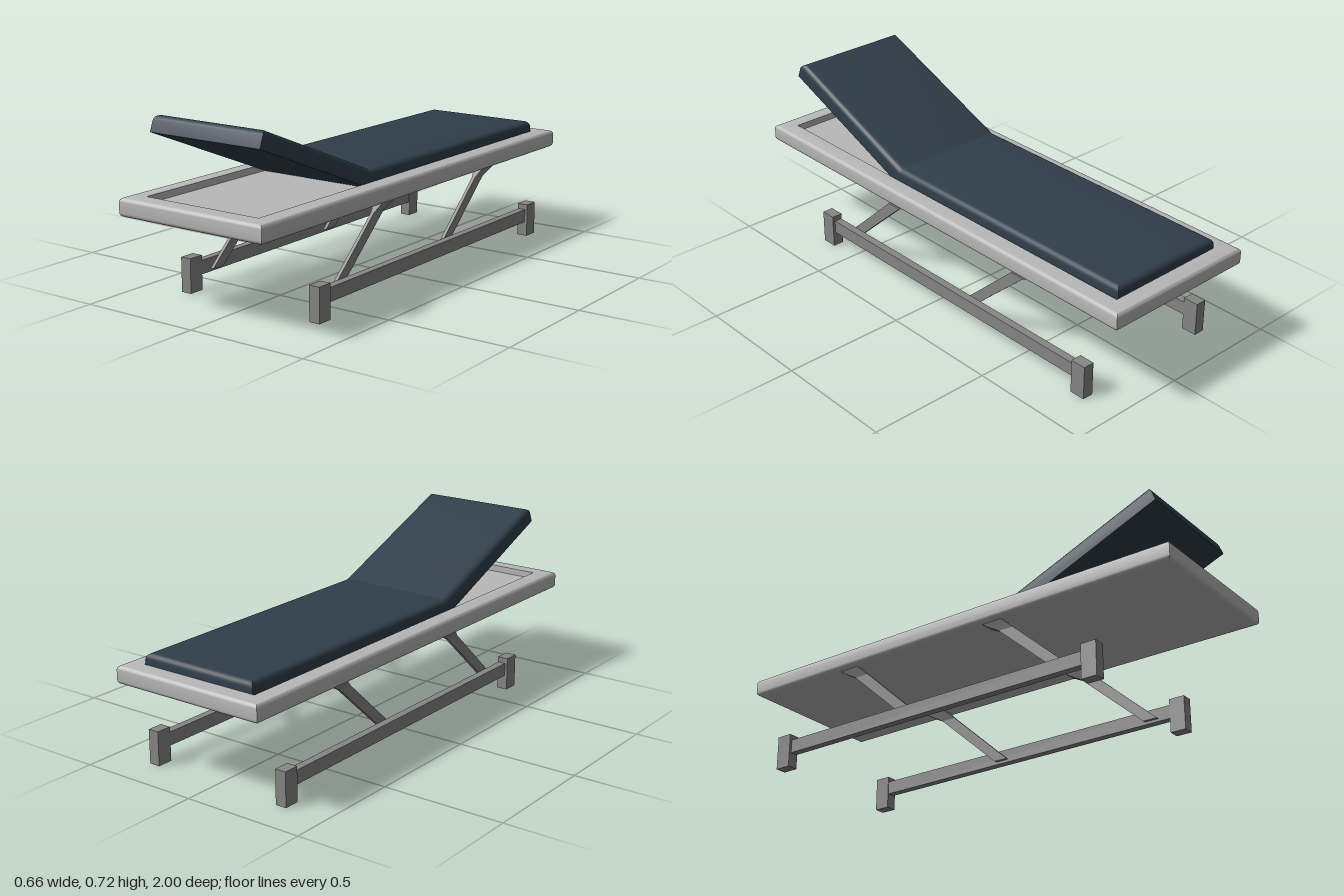
import * as THREE from 'three';
import { toCreasedNormals } from 'three/addons/utils/BufferGeometryUtils.js';

const material = (name, color) => {
  const m = new THREE.MeshStandardMaterial({ color });
  m.name = name;
  return m;
};

function addMesh(parent, name, geometry, mat) {
  const mesh = new THREE.Mesh(geometry, mat);
  mesh.name = name;
  parent.add(mesh);
  return mesh;
}

// Quarter round in (inset, height), from one edge angle to another
function arc(d, y, r, from, to) {
  return Array.from({ length: 6 }, (_, i) => {
    const a = from + ((to - from) * i) / 5;
    return [d - r * Math.cos(a), y + r * Math.sin(a)];
  });
}

// Sweeps an (inset, height) profile around a rectangle with mitred corners
function rectSweep(profile, halfWidth, zAt) {
  const points = profile.map(([d, y]) => new THREE.Vector2(2 - d, y));
  const geometry = new THREE.LatheGeometry(points, 4, Math.PI / 4);
  const p = geometry.attributes.position;
  for (let i = 0; i < p.count; i++) {
    const [d, y] = profile[i % profile.length];
    p.setX(i, Math.sign(p.getX(i)) * (halfWidth - d));
    p.setZ(i, zAt(Math.sign(p.getZ(i)), d, y));
  }
  return toCreasedNormals(geometry, 0.6);
}

// Cushion section running along +z from a mitred joint at the origin
function cushionSection(length, bend) {
  const w = 0.253, thick = 0.07, r = 0.025;
  const profile = [
    [w, 0], [0, 0],
    ...arc(r, thick - r, r, 0, Math.PI / 2),
    [w, thick],
  ];
  return rectSweep(profile, w, (side, d, y) =>
    side > 0 ? length - d : y * Math.tan(bend / 2));
}

// Slanted bar flaring into a mounting foot at its top
function strutGeometry() {
  const rows = [
    { y: 0.072, half: 0.007, front: 0.567, back: 0.507 },
    { y: 0.32, half: 0.007, front: 0.294, back: 0.23 },
    { y: 0.363, half: 0.023, front: 0.247, back: 0.155 },
  ];
  const geometry = new THREE.BoxGeometry(1, 1, 1, 1, 2, 1).toNonIndexed();
  const p = geometry.attributes.position;
  for (let i = 0; i < p.count; i++) {
    const row = rows[Math.round((p.getY(i) + 0.5) * 2)];
    p.setXYZ(i, Math.sign(p.getX(i)) * row.half, row.y,
      p.getZ(i) > 0 ? row.front : row.back);
  }
  geometry.computeVertexNormals();
  return geometry;
}

export function createModel() {
  const model = new THREE.Group();
  model.name = 'adjustableBed';
  const frameGrey = material('light grey frame', 0xb8b8b8);
  const metal = material('grey metal', 0x868686);
  const fabric = material('dark blue upholstery', 0x2f3e4a);

  // Bed frame: rounded rim around a shallow tray
  const r = 0.016, low = 0.36, high = 0.432;
  const frameProfile = [
    [0.33, low],
    ...arc(r, low + r, r, -Math.PI / 2, 0),
    ...arc(r, high - r, r, 0, Math.PI / 2),
    [0.07, high], [0.07, 0.405], [0.33, 0.405],
  ];
  addMesh(model, 'bedFrame',
    rectSweep(frameProfile, 0.33, (side, d) => side * (1 - d)), frameGrey);

  // Cushion: flat section and raised backrest meeting at a mitre
  const bend = THREE.MathUtils.degToRad(22);
  const seat = addMesh(model, 'flatCushion', cushionSection(1.2, bend), fabric);
  seat.position.set(0, 0.406, 0.269);
  seat.rotation.y = Math.PI;
  const backrest = addMesh(model, 'raisedBackrest', cushionSection(0.692, bend), fabric);
  backrest.position.copy(seat.position);
  backrest.rotation.x = -bend;

  // Undercarriage on each side: rail, two feet and two struts
  const strut = strutGeometry();
  for (const side of [1, -1]) {
    const base = new THREE.Group();
    base.name = side > 0 ? 'leftBase' : 'rightBase';
    model.add(base);

    addMesh(base, 'rail', new THREE.BoxGeometry(0.032, 0.055, 1.41), metal)
      .position.set(side * 0.302, 0.088, -0.085);
    for (const z of [0.652, -0.822]) {
      addMesh(base, 'foot', new THREE.BoxGeometry(0.046, 0.138, 0.065), metal)
        .position.set(side * 0.306, 0.069, z);
    }
    for (const z of [0, -0.715]) {
      addMesh(base, 'strut', strut, metal).position.set(side * 0.28, 0, z);
    }
  }
  return model;
}
